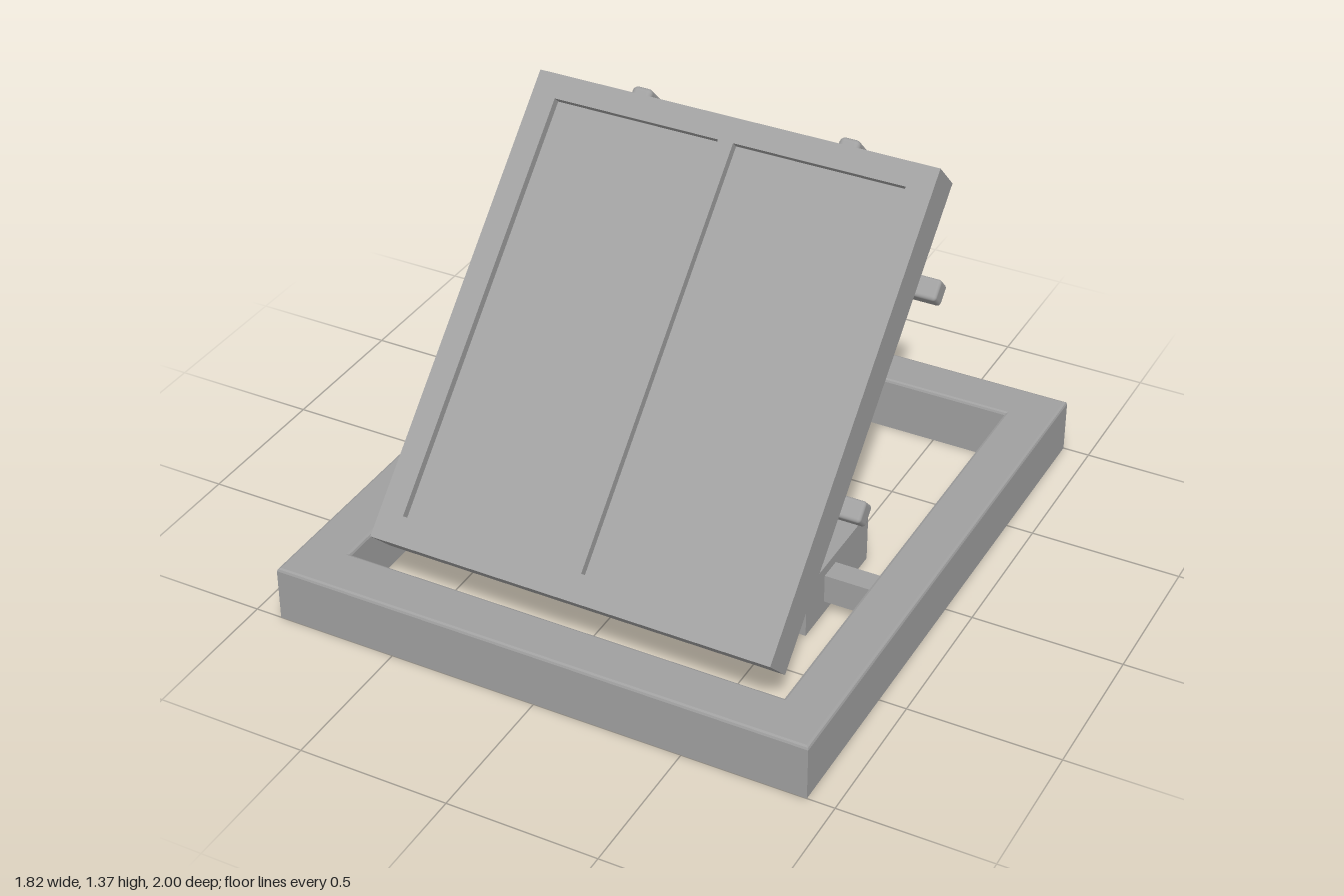
import * as THREE from 'three';
import { RoundedBoxGeometry } from 'three/addons/geometries/RoundedBoxGeometry.js';

const grey = new THREE.MeshStandardMaterial({ color: 0xa0a0a0 });
grey.name = 'grey';

function add(parent, name, geometry, x = 0, y = 0, z = 0) {
  const mesh = new THREE.Mesh(geometry, grey);
  mesh.name = name;
  mesh.position.set(x, y, z);
  parent.add(mesh);
  return mesh;
}

// Rectangle outline from its corner coordinates
function rect(Type, x0, y0, x1, y1) {
  return new Type().setFromPoints([
    new THREE.Vector2(x0, y0), new THREE.Vector2(x1, y0),
    new THREE.Vector2(x1, y1), new THREE.Vector2(x0, y1),
  ]).closePath();
}

// Rectangular base ring, softened on top and flat underneath
function baseFrameGeometry() {
  const b = 0.01;
  const shape = rect(THREE.Shape, -0.91 + b, -1 + b, 0.91 - b, 1 - b);
  shape.holes.push(rect(THREE.Path, -0.75 - b, -0.83 - b, 0.75 + b, 0.84 + b));
  const g = new THREE.ExtrudeGeometry(shape, {
    depth: 0.18, bevelEnabled: true, bevelSize: b, bevelThickness: b, bevelSegments: 2,
  });
  const p = g.attributes.position;
  for (let i = 0; i < p.count; i++) p.setZ(i, Math.max(0, p.getZ(i)));
  g.computeVertexNormals();
  return g.rotateX(-Math.PI / 2);
}

export function createModel() {
  const model = new THREE.Group();
  model.name = 'tiltingPanelStand';
  add(model, 'baseFrame', baseFrameGeometry());

  // Tilted assembly: local y runs up the slope, local z out of the panel face
  const tilt = new THREE.Group();
  tilt.name = 'tiltedPanel';
  tilt.position.set(0, 0.157, 0.7);
  tilt.rotation.x = -Math.PI / 4;
  model.add(tilt);

  // Panel body and its raised border around two recessed fields
  const length = 1.57, depth = 0.145, recess = 0.03;
  add(tilt, 'panelBody', new THREE.BoxGeometry(1.38, length, depth - recess), 0, length / 2, (depth - recess) / 2);
  const border = rect(THREE.Shape, -0.69, 0, 0.69, length);
  for (const [x0, x1] of [[-0.607, -0.028], [0.024, 0.604]]) {
    border.holes.push(rect(THREE.Path, x0, 0.09, x1, 1.49));
  }
  add(tilt, 'panelBorder', new THREE.ExtrudeGeometry(border, { depth: recess, bevelEnabled: false }), 0, 0, depth - recess);

  // Long rails let into the panel back, and cross bars behind them
  for (const x of [-0.36, 0.36]) {
    add(tilt, 'rail', new RoundedBoxGeometry(0.07, 1.45, 0.12, 3, 0.018), x, 0.887, 0.025);
  }
  for (const y of [0.534, 1.246]) {
    add(tilt, 'crossBar', new RoundedBoxGeometry(1.49, 0.07, 0.07, 3, 0.012), 0, y, -0.07);
  }

  // Drive boxes with side brackets and round push rods
  const top = new THREE.Vector3(0, 0.485, 0.27);
  const foot = new THREE.Vector3(0, 0.13, 0.007);
  const dir = top.clone().sub(foot);
  for (const side of [-1, 1]) {
    const drive = new THREE.Group();
    drive.name = side > 0 ? 'leftDrive' : 'rightDrive';
    model.add(drive);
    add(drive, 'driveBox', new THREE.BoxGeometry(0.235, 0.18, 0.45), side * 0.465, 0.095, 0.105);
    add(drive, 'bracket', new THREE.BoxGeometry(0.2, 0.1, 0.08), side * 0.66, 0.1, 0.16);
    const rod = add(drive, 'pushRod', new THREE.CylinderGeometry(0.018, 0.018, dir.length(), 20));
    rod.position.addVectors(top, foot).multiplyScalar(0.5).setX(side * 0.465);
    rod.quaternion.setFromUnitVectors(new THREE.Vector3(0, 1, 0), dir.clone().normalize());
  }
  return model;
}
